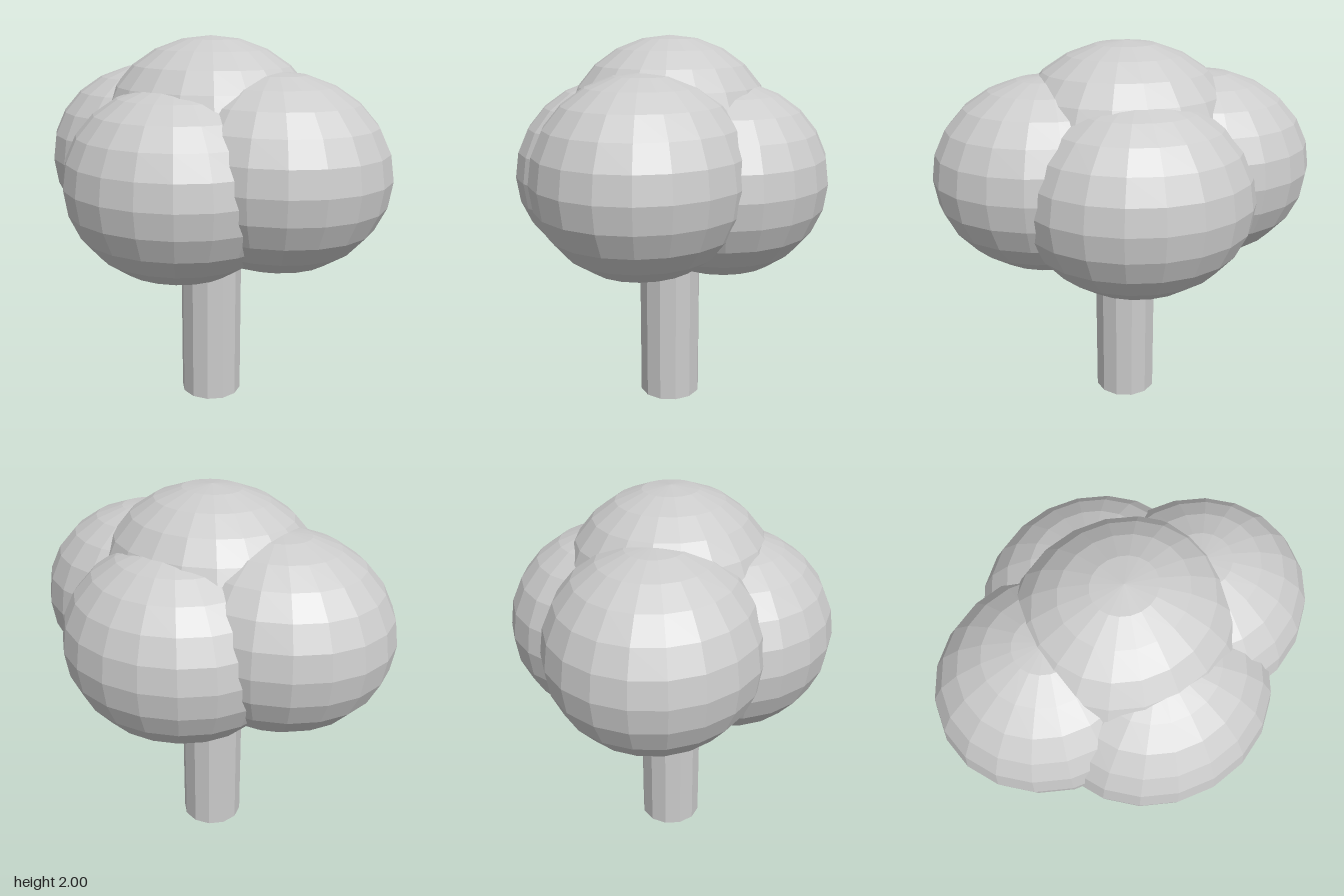
import * as THREE from 'three';

export function createModel() {
  const tree = new THREE.Group();
  tree.name = 'tree';
  const material = new THREE.MeshStandardMaterial({ color: 0xcccccc, flatShading: true });

  // Straight faceted trunk, running up into the foliage
  const trunk = new THREE.Mesh(new THREE.CylinderGeometry(0.168, 0.168, 1.2, 12), material);
  trunk.name = 'trunk';
  trunk.position.y = 0.6;
  tree.add(trunk);

  // Foliage: one squashed ball repeated around and above the trunk
  const ball = new THREE.SphereGeometry(1, 20, 12).scale(0.6, 0.507, 0.545);
  const addFoliage = (name, x, y, z) => {
    const mesh = new THREE.Mesh(ball, material);
    mesh.name = name;
    mesh.position.set(x, y, z);
    tree.add(mesh);
  };
  addFoliage('topFoliage', 0, 1.493, 0);
  addFoliage('leftFoliage', 0.4, 1.333, 0);
  addFoliage('rightFoliage', -0.4, 1.333, 0);
  addFoliage('frontFoliage', 0, 1.27, 0.3);
  addFoliage('backFoliage', 0, 1.27, -0.3);

  return tree;
}
